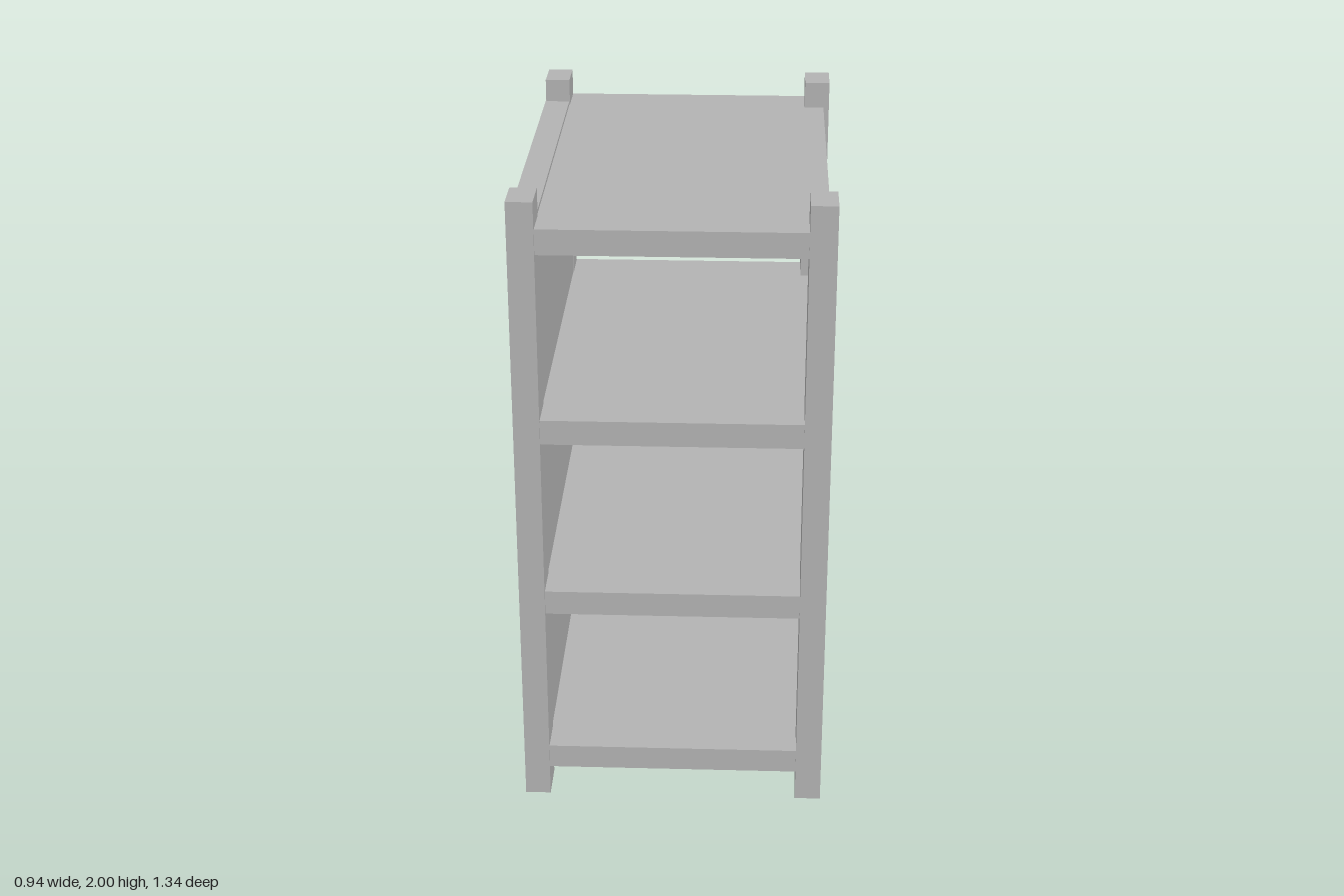
import * as THREE from 'three';

export function createModel() {
  const group = new THREE.Group();
  group.name = 'shelvingUnit';

  const grey = new THREE.MeshStandardMaterial({ color: 0xb2b2b2 });
  grey.name = 'plain grey';

  // Box given by its lower and upper limits on each axis
  function addBox(name, [x0, x1], [y0, y1], [z0, z1]) {
    const mesh = new THREE.Mesh(new THREE.BoxGeometry(x1 - x0, y1 - y0, z1 - z0), grey);
    mesh.name = name;
    mesh.position.set((x0 + x1) / 2, (y0 + y1) / 2, (z0 + z1) / 2);
    group.add(mesh);
  }

  // Four corner posts
  const postSides = { Left: [0.391, 0.471], Right: [-0.471, -0.392] };
  const postEnds = { front: [0.545, 0.67], back: [-0.666, -0.542] };
  for (const [end, z] of Object.entries(postEnds)) {
    for (const [side, x] of Object.entries(postSides)) {
      addBox(`${end}${side}Post`, x, [0, 2], z);
    }
  }

  // Four shelves, slightly proud of the posts at the back
  [0.095, 0.658, 1.238, 1.838].forEach((y, i) => {
    addBox(`shelf${i + 1}`, [-0.43, 0.453], [y, y + 0.078], [-0.671, 0.661]);
  });

  // Solid panel closing one long side, a hair proud of the posts
  addBox('sidePanel', [-0.473, -0.394], [0.075, 1.927], [-0.63, 0.622]);

  return group;
}
